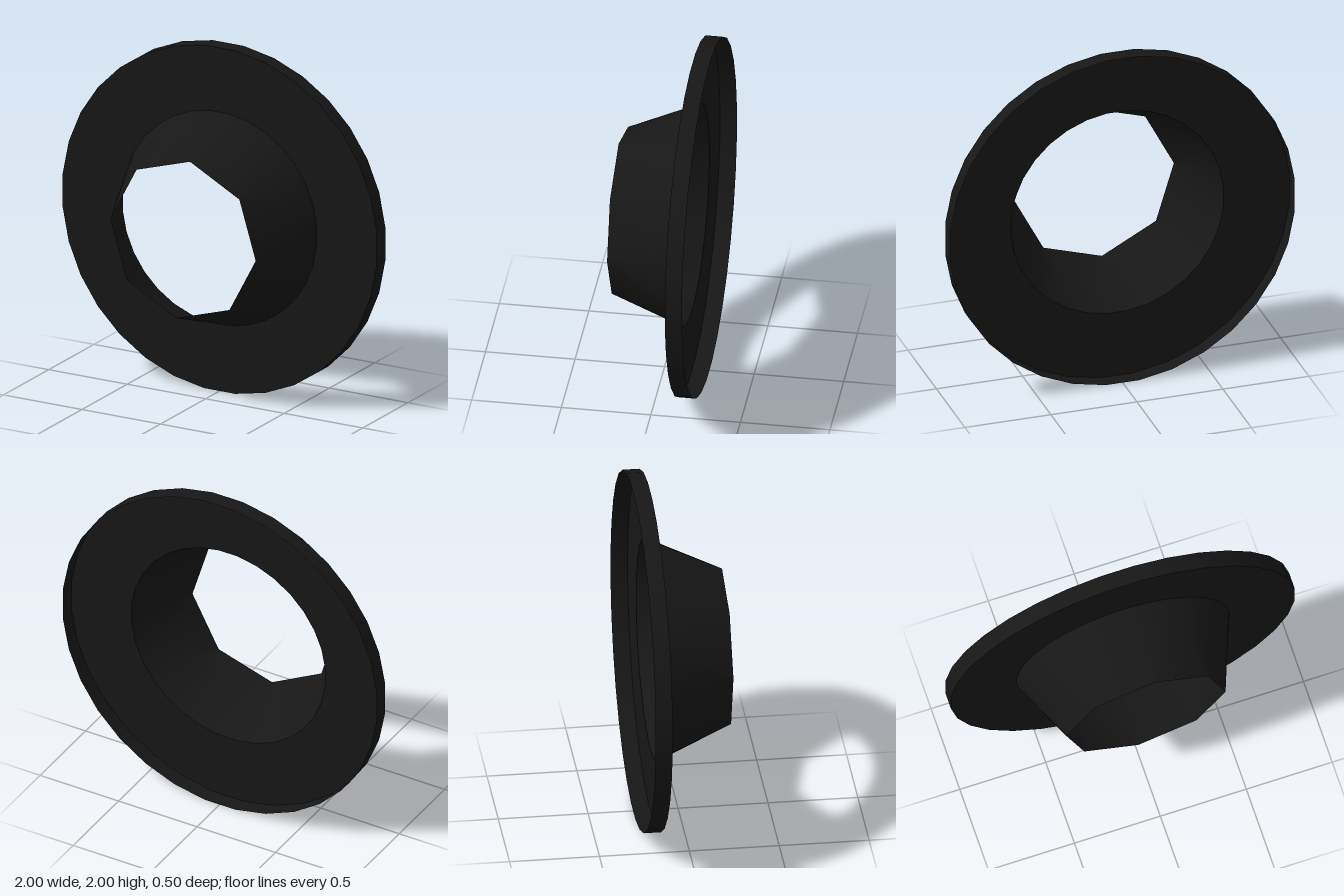
import * as THREE from 'three';
import { toCreasedNormals } from 'three/addons/utils/BufferGeometryUtils.js';

const SEGMENTS = 32, SIDES = 8;
const STEP = (Math.PI * 2) / SEGMENTS;
const RIM = 1 / Math.cos(STEP / 2), BORE = 0.62, MOUTH = 0.465;
const BORE_RISE = 0.008;
const BACK = -0.25, PLATE_FRONT = -0.155, FRONT = 0.25;
const MOUTH_TURN = THREE.MathUtils.degToRad(39.5);

// Regular polygon in the xy plane
function polygon(radius, count, turn, rise = 0) {
  return Array.from({ length: count }, (_, i) => {
    const a = turn + (i * Math.PI * 2) / count;
    return new THREE.Vector2(Math.cos(a) * radius, Math.sin(a) * radius + rise);
  });
}

const bore = polygon(BORE, SEGMENTS, MOUTH_TURN, BORE_RISE);

// Flat sheet ring with a round bore
function flangeGeometry() {
  const shape = new THREE.Shape(polygon(RIM, SEGMENTS, STEP / 2));
  shape.holes.push(new THREE.Path(bore));
  return new THREE.ShapeGeometry(shape).translate(0, 0, PLATE_FRONT);
}

// Skirt turned back from the outer edge, open behind
function rimGeometry() {
  const depth = PLATE_FRONT - BACK;
  return new THREE.CylinderGeometry(RIM, RIM, depth, SEGMENTS, 1, true, STEP / 2)
    .rotateX(Math.PI / 2)
    .translate(0, 0, BACK + depth / 2);
}

// Thin wall blending from the round bore to the octagonal mouth
function collarGeometry() {
  const mouth = polygon(MOUTH, SIDES, MOUTH_TURN);
  const per = SEGMENTS / SIDES;
  const positions = [];
  const base = (i) => {
    const p = bore[(i + SEGMENTS) % SEGMENTS];
    positions.push(p.x, p.y, PLATE_FRONT);
  };
  const corner = (i) => {
    const p = mouth[i % SIDES];
    positions.push(p.x, p.y, FRONT);
  };
  for (let s = 0; s < SIDES; s++) {
    const mid = s * per;
    // Fan around each mouth corner
    for (let k = -per / 2; k < per / 2; k++) {
      base(mid + k);
      base(mid + k + 1);
      corner(s);
    }
    // Flat facet under each mouth edge
    base(mid + per / 2);
    corner(s + 1);
    corner(s);
  }
  const geometry = new THREE.BufferGeometry();
  geometry.setAttribute('position', new THREE.Float32BufferAttribute(positions, 3));
  return toCreasedNormals(geometry, 0.6);
}

export function createModel() {
  const group = new THREE.Group();
  group.name = 'flangedCollar';
  const material = new THREE.MeshStandardMaterial({ color: 0x171717, side: THREE.DoubleSide });
  const add = (name, geometry) => {
    const mesh = new THREE.Mesh(geometry, material);
    mesh.name = name;
    mesh.position.y = 1;
    group.add(mesh);
  };
  add('flange', flangeGeometry());
  add('rim', rimGeometry());
  add('collar', collarGeometry());
  return group;
}
